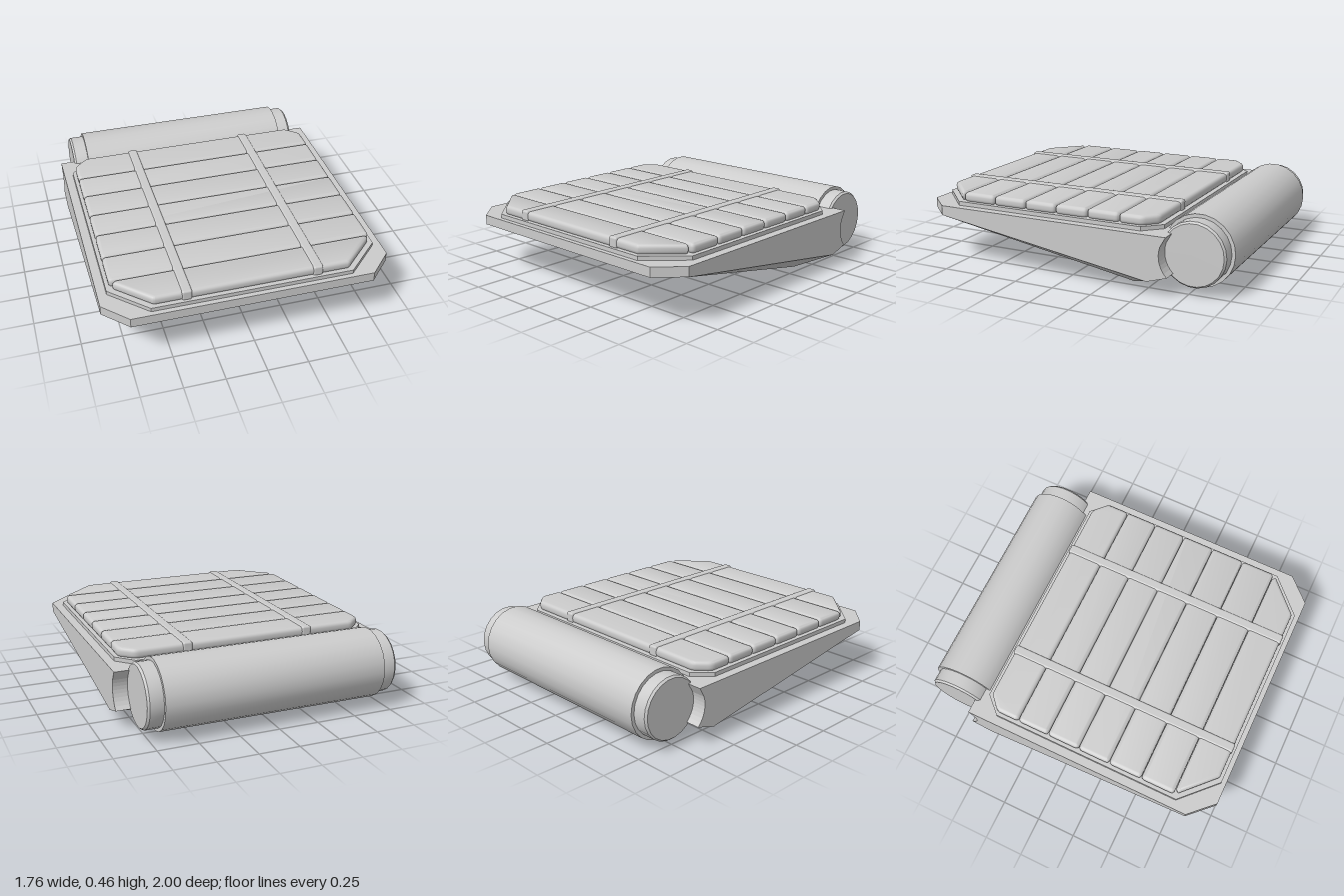
import * as THREE from 'three';
import { toCreasedNormals } from 'three/addons/utils/BufferGeometryUtils.js';
import { RoundedBoxGeometry } from 'three/addons/geometries/RoundedBoxGeometry.js';

const grey = new THREE.MeshStandardMaterial({ color: 0xcccccc });
const ROLL_Y = 0.248, ROLL_Z = -0.785;
const FLOOR = 0.30, DECK = 0.36, STERN = -0.38;

// Sloping underside height, and the concave rear edge that cradles the roll
const keel = z => FLOOR * (1 - (0.85 - z) / (0.85 - STERN));
const rearArc = y => ROLL_Z + Math.sqrt(Math.max(0.17 ** 2 - (y - ROLL_Y) ** 2, 0));
const arcPoints = (y0, y1, n = 8) => Array.from({ length: n + 1 }, (_, i) => {
  const y = y0 + (y1 - y0) * i / n;
  return [rearArc(y), y];
});

const toShape = pts => new THREE.Shape(pts.map(p => new THREE.Vector2(...p)));

// Mirrors half of an [x, z] outline across x = 0 and stores it as (x, -z)
function symmetric(half) {
  const right = half.map(([x, z]) => [x, -z]);
  return [...right, ...right.map(([x, y]) => [-x, y]).reverse()];
}

// Plan outline extruded upwards from y
function plate(outline, y, height, options = {}) {
  const g = new THREE.ExtrudeGeometry(outline, { depth: height, bevelEnabled: false, ...options });
  return g.rotateX(-Math.PI / 2).translate(0, y, 0);
}

// Side profile of [z, y] points extruded from x0 to x1
function sideSlab(profile, x0, x1) {
  const g = new THREE.ExtrudeGeometry(toShape(profile), { depth: x1 - x0, bevelEnabled: false });
  return g.rotateY(-Math.PI / 2).translate(x1, 0, 0);
}

function moveVertices(g, rule) {
  const p = g.attributes.position, v = new THREE.Vector3();
  for (let i = 0; i < p.count; i++) {
    rule(v.fromBufferAttribute(p, i));
    p.setXYZ(i, v.x, v.y, v.z);
  }
  g.computeVertexNormals();
  return g;
}

// Polygon with softened corners
function softPolygon(pts, r) {
  const v = pts.map(p => new THREE.Vector2(...p)), s = new THREE.Shape();
  v.forEach((c, i) => {
    const a = v[(i + v.length - 1) % v.length], b = v[(i + 1) % v.length];
    const p = c.clone().add(a.clone().sub(c).setLength(r));
    const q = c.clone().add(b.clone().sub(c).setLength(r));
    if (i) s.lineTo(p.x, p.y); else s.moveTo(p.x, p.y);
    s.quadraticCurveTo(c.x, c.y, q.x, q.y);
  });
  s.closePath();
  return s;
}

// Outer side body: cross-sections from the front to the cradled rear
function wingGeometry(side) {
  const N = 8, IN = 0.65, OUT = 0.88;
  // z, outer wall bottom, keel x, keel y
  const stations = [
    [0.85, FLOOR, OUT, FLOOR], [STERN, 0.111, 0.69, 0],
    [-0.53, 0.087, 0.69, 0.05], [-0.54, 0.085, 0.69, 0.084], [null, 0.125, 0.69, 0.125],
  ];
  const rings = stations.map(([z, wallY, kx, ky]) => {
    const pt = (x, y) => [x * side, y, z === null ? rearArc(y) : z];
    const wall = (x, low) => Array.from({ length: N + 1 }, (_, i) => pt(x, FLOOR + (low - FLOOR) * i / N));
    return [...wall(IN, ky), pt(kx, ky), ...wall(OUT, wallY).reverse()];
  });
  const out = [];
  const tri = (a, b, c) => out.push(...a, ...(side > 0 ? b : c), ...(side > 0 ? c : b));
  const quad = (a, b, c, d) => { tri(a, b, c); tri(a, c, d); };
  const n = rings[0].length;
  for (let k = 0; k + 1 < rings.length; k++) {
    for (let i = 0; i < n; i++) {
      const j = (i + 1) % n;
      quad(rings[k][i], rings[k + 1][i], rings[k + 1][j], rings[k][j]);
    }
  }
  const end = rings[rings.length - 1];
  for (let i = 0; i < N; i++) quad(end[i], end[n - 1 - i], end[n - 2 - i], end[i + 1]);
  tri(end[N], end[N + 2], end[N + 1]);
  const g = new THREE.BufferGeometry();
  g.setAttribute('position', new THREE.Float32BufferAttribute(out, 3));
  g.computeVertexNormals();
  return g;
}

export function createModel() {
  const model = new THREE.Group();
  const add = (name, geometry, parent = model) => {
    const mesh = new THREE.Mesh(geometry, grey);
    mesh.name = name;
    parent.add(mesh);
    return mesh;
  };

  // Deck slab with clipped front corners and a rear edge following the roll
  const deck = plate(toShape(symmetric([[0.735, 1], [0.88, 0.85], [0.88, -0.65]])), FLOOR, DECK - FLOOR);
  add('deckSlab', moveVertices(deck, v => { if (v.z < -0.6) v.z = rearArc(v.y); }));

  // Central body above the recessed underside panel
  add('centreBody', sideSlab([
    [0.744, FLOOR], [STERN, 0.025], [STERN, 0], [-0.53, 0.05], [-0.54, 0.085],
    ...arcPoints(0.125, FLOOR),
  ].reverse(), -0.59, 0.59));

  // Underside skin with the panel opening, sheared onto the slope
  const skin = toShape(symmetric([[0.59, 0.85], [0.59, STERN]]));
  skin.holes.push(new THREE.Path(
    symmetric([[0.2, 0.765], [0.53, -0.17], [0.41, -0.34]]).map(p => new THREE.Vector2(...p))));
  add('undersideSkin', moveVertices(plate(skin, 0, 0.026), v => { v.y += keel(v.z); }));

  // Side bodies and the ceilings of the slots beside the centre
  for (const side of [1, -1]) {
    const name = side > 0 ? 'left' : 'right';
    add(name + 'SideBody', wingGeometry(side));
    const x = 0.62 * side;
    add(name + 'SlotCeiling', sideSlab([
      [0.85, FLOOR], [0.68, keel(0.68)], [-0.615, 0.19], ...arcPoints(0.2, FLOOR, 4),
    ].reverse(), x - 0.03, x + 0.03));
  }

  // Raised tray under the padding
  add('tray', plate(toShape(symmetric(
    [[0.61, 0.97], [0.825, 0.76], [0.825, -0.48], [0.725, -0.585]])), DECK, 0.025));

  // Seven padded slats, the end ones with clipped corners
  const pads = new THREE.Group();
  pads.name = 'pads';
  model.add(pads);
  const splits = [-0.56, -0.332, -0.125, 0.087, 0.296, 0.514, 0.735, 0.95];
  for (let i = 0; i < 7; i++) {
    const a = splits[i] + 0.001, b = splits[i + 1] - 0.001, w = 0.805;
    let half = [[w, b], [w, a]];
    if (i === 0) half = [[w, b], [w, -0.48], [0.72, a]];
    if (i === 6) half = [[0.59, b], [0.79, a + 0.02], [0.77, a]];
    const bevel = 0.022;
    const g = plate(softPolygon(symmetric(half), i === 6 ? 0.012 : 0.025), 0.38 + bevel, 0.06 - 2 * bevel, {
      bevelEnabled: true, bevelSize: bevel, bevelThickness: bevel, bevelOffset: -bevel,
      bevelSegments: 4, curveSegments: 4,
    });
    add('pad' + (i + 1), toCreasedNormals(g, 0.8), pads);
  }

  // Straps running over the padding
  for (const side of [1, -1]) {
    const strap = add(side > 0 ? 'leftStrap' : 'rightStrap', new RoundedBoxGeometry(0.06, 0.066, 1.52, 3, 0.012));
    strap.position.set(0.395 * side, 0.413, 0.195);
  }

  // Roll with stepped, bevelled ends
  const half = [[0, 0.79], [0.184, 0.79], [0.195, 0.777], [0.195, 0.695], [0.2165, 0.695]];
  const profile = [...half.map(([r, x]) => [r, -x]), ...[...half].reverse()].map(p => new THREE.Vector2(...p));
  const roll = new THREE.LatheGeometry(profile, 22).rotateZ(Math.PI / 2);
  add('rearRoll', toCreasedNormals(roll, 0.5)).position.set(0, ROLL_Y, ROLL_Z);

  return model;
}
